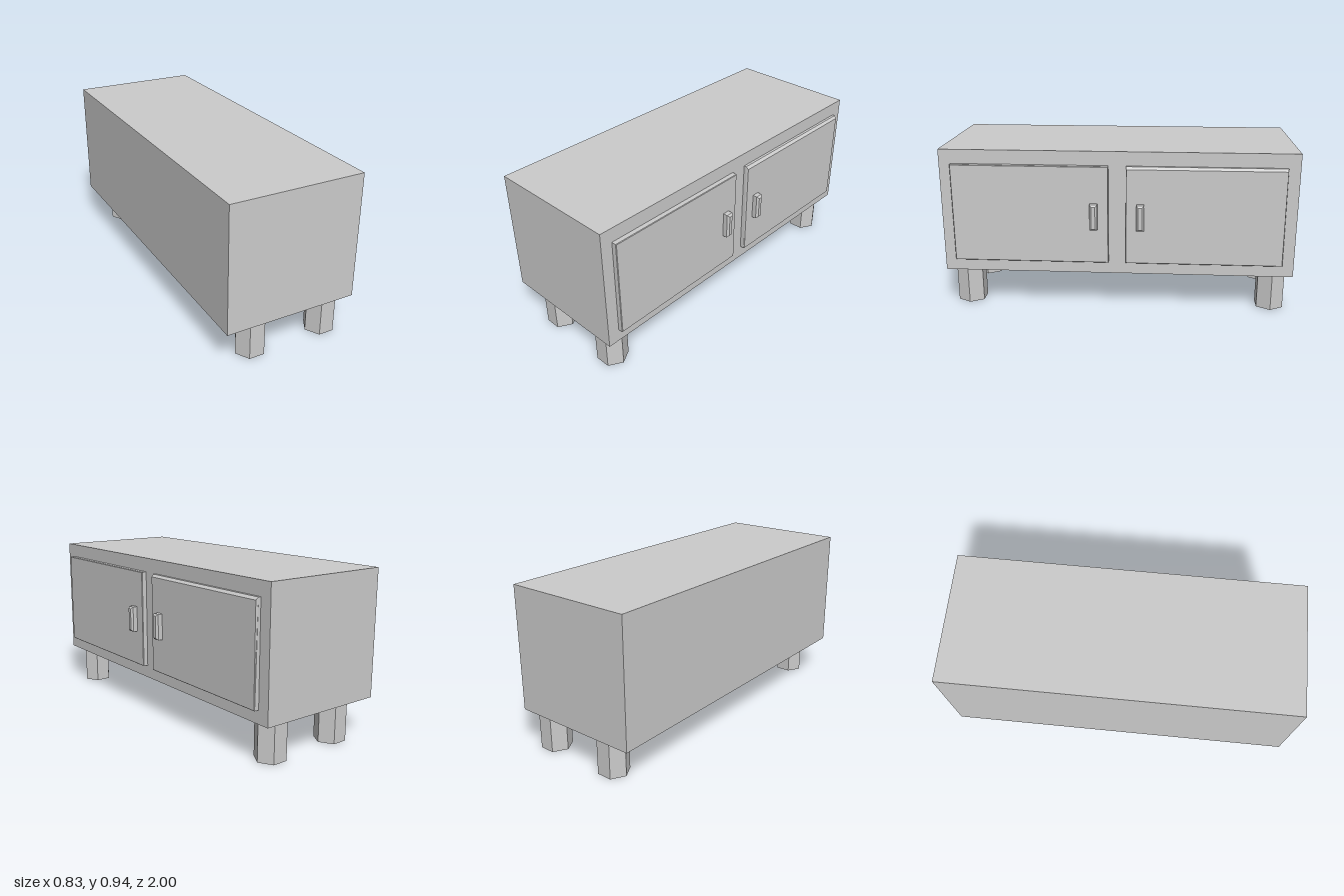
import * as THREE from 'three';

const material = new THREE.MeshStandardMaterial({ color: 0xcccccc, flatShading: true });

// Box spanning the given ranges
function box([x0, x1], [y0, y1], [z0, z1], xSegments = 1) {
  const g = new THREE.BoxGeometry(x1 - x0, y1 - y0, z1 - z0, xSegments, 1, 1);
  return g.translate((x0 + x1) / 2, (y0 + y1) / 2, (z0 + z1) / 2);
}

// Box whose +x face is chamfered; the top edge may have its own chamfer
function chamferedBox(xs, ys, zs, bevel, topBevel = bevel) {
  const g = box(xs, ys, zs, 2);
  const p = g.attributes.position;
  const xMid = (xs[0] + xs[1]) / 2;
  const yMid = (ys[0] + ys[1]) / 2;
  const zMid = (zs[0] + zs[1]) / 2;
  for (let i = 0; i < p.count; i++) {
    const x = p.getX(i), y = p.getY(i), z = p.getZ(i);
    const b = y > yMid ? topBevel : bevel;
    if (x > xMid + 1e-4) {
      p.setY(i, y - Math.sign(y - yMid) * b);
      p.setZ(i, z - Math.sign(z - zMid) * bevel);
    } else if (x > xMid - 1e-4) {
      p.setX(i, xs[1] - b);
    }
  }
  const flat = g.toNonIndexed();
  flat.computeVertexNormals();
  return flat;
}

export function createModel() {
  const group = new THREE.Group();
  const add = (name, geometry) => {
    const mesh = new THREE.Mesh(geometry, material);
    mesh.name = name;
    group.add(mesh);
    return mesh;
  };

  // Cabinet body
  add('cabinetBody', box([-0.417, 0.348], [0.225, 0.94], [-1, 1]));

  // Doors and handles on the +x side
  for (const [side, s] of [['front', 1], ['back', -1]]) {
    const span = (a, b) => (s > 0 ? [a, b] : [-b, -a]);
    add(side + 'Door',
      chamferedBox([0.348, 0.377], [0.298, 0.86], span(0.049, 0.932), 0.003, s > 0 ? 0.003 : 0.014));
    add(side + 'Handle',
      chamferedBox([0.377, 0.415], [0.5, 0.649], span(0.109, 0.152), 0.011));
  }

  // Hexagonal legs, corners pointing along x
  for (const x of [-0.217, 0.225]) {
    for (const z of [-0.891, 0.887]) {
      const name = (z > 0 ? 'front' : 'back') + (x > 0 ? 'Left' : 'Right') + 'Leg';
      const leg = new THREE.CylinderGeometry(0.0875, 0.0875, 0.225, 6, 1, false, Math.PI / 2);
      add(name, leg).position.set(x, 0.1125, z);
    }
  }

  return group;
}
